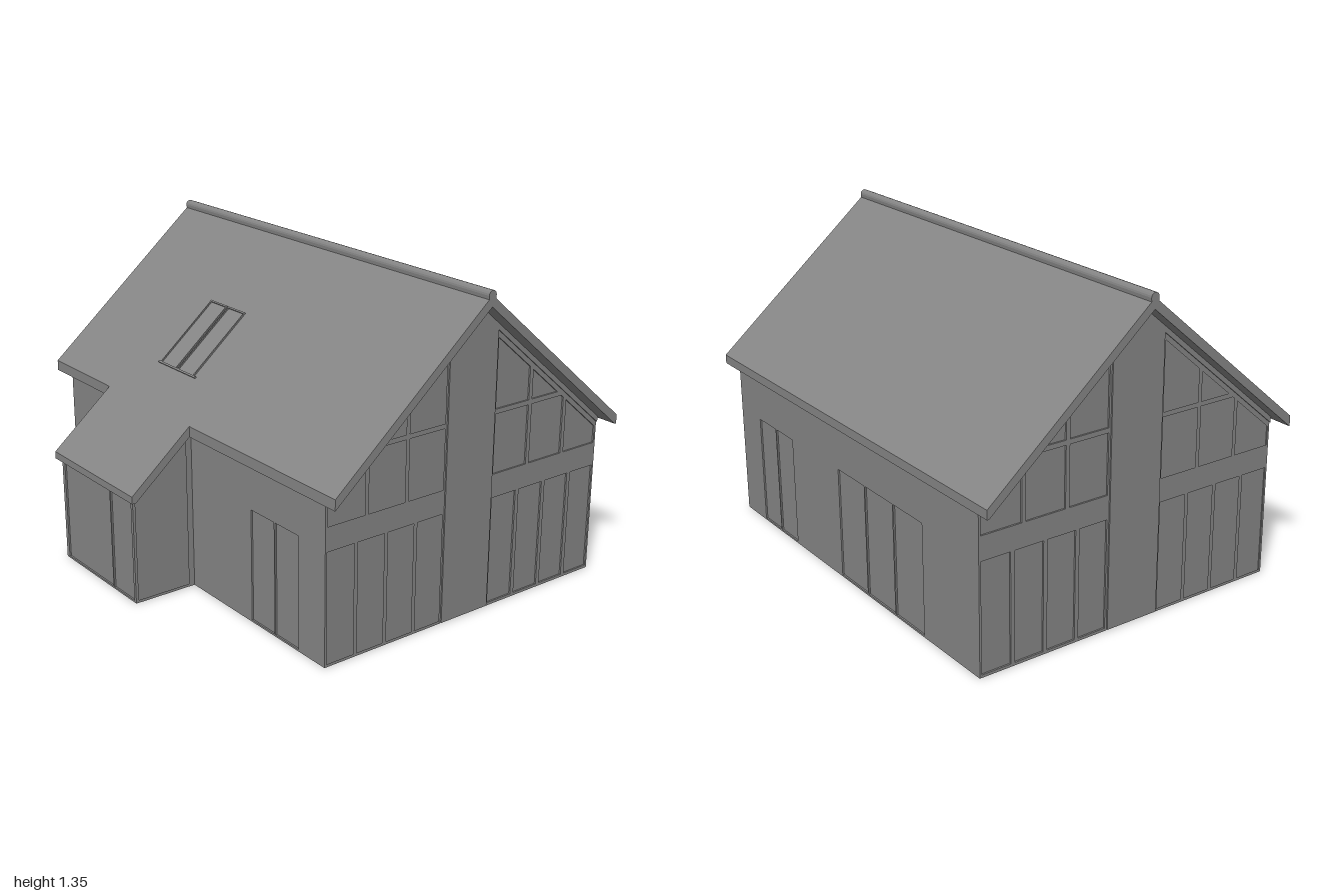
import * as THREE from 'three';

const RIDGE = -0.135, PITCH = 0.85, REVEAL = 0.007;
const under = d => 1.29 - PITCH * d;          // roof underside at distance d from the ridge
const over = d => 1.335 - PITCH * d;          // roof top

export function createModel() {
  const house = new THREE.Group();
  house.name = 'house';
  const mat = new THREE.MeshStandardMaterial({ color: 0x858585, flatShading: true });

  const add = (name, geo, parent = house) => {
    const m = new THREE.Mesh(geo, mat);
    m.name = name;
    parent.add(m);
  };
  const box = (name, x0, x1, y0, y1, z0, z1, parent) => {
    const g = new THREE.BoxGeometry(x1 - x0, y1 - y0, z1 - z0);
    g.translate((x0 + x1) / 2, (y0 + y1) / 2, (z0 + z1) / 2);
    add(name, g, parent);
  };
  const path = pts => pts.map(p => new THREE.Vector2(p[0], p[1]));
  const solid = (pts, holes, depth) => {
    const s = new THREE.Shape(path(pts));
    holes.forEach(h => s.holes.push(new THREE.Path(path(h))));
    return new THREE.ExtrudeGeometry(s, { depth, bevelEnabled: false });
  };
  // profile given as [z, y], extruded from x0 to x1
  const alongX = (name, pts, x0, x1, holes = []) => {
    const flip = a => a.map(([z, y]) => [-z, y]);
    const g = solid(flip(pts), holes.map(flip), x1 - x0);
    g.rotateY(Math.PI / 2);
    g.translate(x0, 0, 0);
    add(name, g);
  };
  // profile given as [x, y], extruded from z0 to z1
  const alongZ = (name, pts, z0, z1, holes = []) => {
    const g = solid(pts, holes, z1 - z0);
    g.translate(0, 0, z0);
    add(name, g);
  };
  const rect = (a, b, y0, y1) => [[a, y0], [b, y0], [b, y1], [a, y1]];
  const panes = (a, b, n, y1) => Array.from({ length: n }, (_, i) => {
    const w = (b - a) / n;
    return rect(a + i * w + 0.004, a + (i + 1) * w - 0.004, 0.008, y1);
  });

  // inner body, the plane of the glass
  const front = 0.57, back = -0.847, wallX = 0.914;
  const dF = front - RIDGE, dB = RIDGE - back;
  alongX('body', [[back + REVEAL, 0], [front - REVEAL, 0], [front - REVEAL, under(dF - REVEAL)],
    [RIDGE, under(0)], [back + REVEAL, under(dB - REVEAL)]], -wallX + REVEAL, wallX - REVEAL);

  // long walls with glazed doors
  alongZ('frontWall', rect(-wallX, wallX, 0, under(dF)), front - REVEAL, front, panes(0.45, 0.76, 2, 0.48));
  alongZ('backWall', rect(-wallX, wallX, 0, under(dB)), back, back + REVEAL,
    [...panes(0.45, 0.75, 2, 0.48), ...panes(-0.55, 0.075, 3, 0.48)]);

  // one pane of the gable glazing, trimmed by the slope of the roof
  const cut = d => 1.24 - PITCH * d, cutAt = y => (1.24 - y) / PITCH;
  const gablePane = (s, d0, d1, lo, hi) => {
    d1 = Math.min(d1, cutAt(lo));
    if (d1 - d0 < 0.02) return null;
    const p = [[d0, lo], [d1, lo]];
    if (cut(d1) - lo > 0.001) p.push([d1, Math.min(hi, cut(d1))]);
    const dh = cutAt(hi);
    if (dh > d0 && dh < d1) p.push([dh, hi]);
    p.push([d0, Math.min(hi, cut(d0))]);
    return p.map(([d, y]) => [RIDGE + s * d, y]);
  };

  for (const side of [1, -1]) {
    const slab = (name, pts, x0, x1, holes) =>
      side > 0 ? alongX(name, pts, x0, x1, holes) : alongX(name, pts, -x1, -x0, holes);
    // glazed frames either side of the middle pier
    for (const [s, d0, d1] of [[1, 0.125, dF], [-1, 0.12, dB]]) {
      const at = d => RIDGE + s * d, holes = [];
      for (const [n, lo, hi] of [[4, 0.012, 0.47], [3, 0.57, 0.82], [3, 0.84, 1.2]]) {
        const w = (d1 - d0) / n;
        for (let i = 0; i < n; i++) {
          const h = gablePane(s, d0 + i * w + 0.009, d0 + (i + 1) * w - 0.009, lo, hi);
          if (h) holes.push(h);
        }
      }
      slab('gableFrame', [[at(d0), 0], [at(d1), 0], [at(d1), under(d1)], [at(d0), under(d0)]],
        wallX - REVEAL, wallX, holes);
      // trim following the rafters
      slab('rakeTrim', [[at(d0), under(d0) - 0.025], [at(d1), under(d1) - 0.025],
        [at(d1), under(d1)], [at(d0), under(d0)]], 0.905, 0.92);
    }
    slab('gablePier', [[-0.255, 0.004], [-0.01, 0.004], [-0.01, under(0.125)],
      [RIDGE, under(0)], [-0.255, under(0.12)]], 0.9, 0.92);
  }

  // front extension
  const eL = -0.52, eR = 0.045, eF = 0.852, dE = eF - RIDGE;
  const sideShape = (z0, z1, y0, drop) => [[z0, y0], [z1, y0],
    [z1, under(z1 - RIDGE) - drop], [z0, under(z0 - RIDGE) - drop]];
  alongX('extensionBody', sideShape(0.55, eF - REVEAL, 0, 0), eL + 0.012, eR - 0.012);
  for (const x of [eL, eR - 0.012]) {
    alongX('extensionSide', sideShape(front, eF, 0, 0), x, x + 0.012,
      [sideShape(0.597, eF - 0.012, 0.012, 0.02)]);
  }
  alongZ('extensionFront', rect(eL, eR, 0, under(dE)), eF - REVEAL, eF,
    [rect(-0.5, -0.134, 0.008, 0.442), rect(-0.126, 0.03, 0.008, 0.442)]);

  // roof: main slopes and the run down over the extension
  const rF = 0.73, rB = 0.735, rE = 1.005;
  alongX('mainRoof', [[RIDGE + rF, under(rF)], [RIDGE + rF, over(rF)], [RIDGE, over(0)],
    [RIDGE - rB, over(rB)], [RIDGE - rB, 0.672], [RIDGE - 0.727, 0.672], [RIDGE, under(0)]], -1, 1);
  alongX('extensionRoof', [[RIDGE + rF, under(rF)], [RIDGE + 0.988, 0.45], [RIDGE + rE, 0.45],
    [RIDGE + rE, over(rE)], [RIDGE + rF, over(rF)]], -0.545, 0.073);

  // rounded ridge cap
  const cap = [[RIDGE + 0.015, 1.3]];
  for (let i = 0; i <= 8; i++) {
    const a = Math.PI * i / 8;
    cap.push([RIDGE + 0.019 * Math.cos(a), 1.335 + 0.019 * Math.sin(a)]);
  }
  cap.push([RIDGE - 0.015, 1.3]);
  alongX('ridgeCap', cap, -1, 1);

  // two-pane skylight lying on the front slope
  const sky = new THREE.Group();
  sky.name = 'skylight';
  sky.position.set(-0.237, over(0.315 - RIDGE), 0.315);
  sky.rotation.x = Math.atan(PITCH);
  house.add(sky);
  const L = 0.172;
  for (const s of [-1, 1]) {
    const c = s * 0.0635;
    box('skylightGlass', c - 0.055, c + 0.055, -0.01, 0.001, -L, L, sky);
    for (const e of [-1, 1]) {
      const x = c + e * 0.0565;
      box('skylightRail', x - 0.003, x + 0.003, -0.01, 0.006, -L, L, sky);
    }
    box('skylightHead', c - 0.06, c + 0.06, -0.01, 0.007, -L - 0.002, -L + 0.005, sky);
  }
  box('skylightSill', -0.138, 0.138, -0.01, 0.006, L - 0.004, L + 0.004, sky);

  return house;
}
